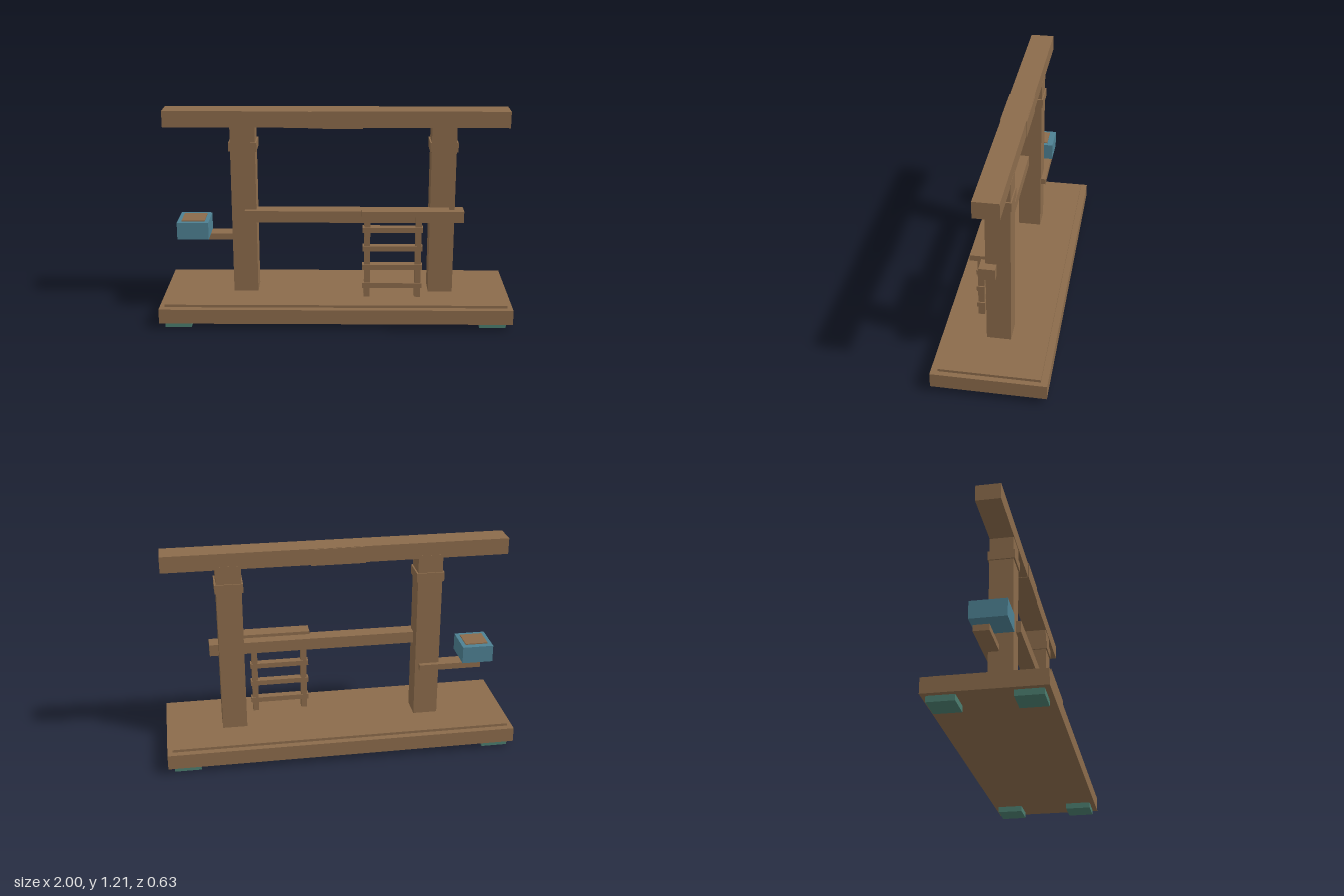
import * as THREE from 'three';

export function createModel() {
  const model = new THREE.Group();
  model.name = 'timberFrame';

  const material = (name, color) => {
    const m = new THREE.MeshStandardMaterial({ color });
    m.name = name;
    return m;
  };
  const wood = material('brown wood', 0x8b6b4b);
  const blue = material('blue paint', 0x4d8092);
  const green = material('green rubber', 0x4b7d6f);

  // Axis-aligned block given by its [min, max] range on each axis
  const block = (name, mat, [x0, x1], [y0, y1], [z0, z1], parent = model) => {
    const mesh = new THREE.Mesh(new THREE.BoxGeometry(x1 - x0, y1 - y0, z1 - z0), mat);
    mesh.position.set((x0 + x1) / 2, (y0 + y1) / 2, (z0 + z1) / 2);
    mesh.name = name;
    parent.add(mesh);
  };

  // Base slab with a raised deck and four feet
  block('base', wood, [-1, 1], [0.033, 0.118], [-0.313, 0.313]);
  block('deck', wood, [-0.97, 0.97], [0.11, 0.133], [-0.276, 0.276]);
  for (const x of [-0.895, 0.89])
    for (const z of [-0.216, 0.212])
      block('foot', green, [x - 0.075, x + 0.075], [0, 0.034], [z - 0.073, z + 0.073]);

  // Posts with collars
  for (const x of [-0.525, 0.605]) {
    block('post', wood, [x - 0.07, x + 0.07], [0.12, 1.13], [-0.07, 0.065]);
    block('collar', wood, [x - 0.079, x + 0.079], [0.975, 1.027], [-0.077, 0.073]);
  }

  // Top beam with a slightly proud sleeve at mid-span
  block('topBeam', wood, [-0.97, 0.97], [1.112, 1.205], [-0.069, 0.068]);
  block('beamSleeve', wood, [-0.155, 0.15], [1.108, 1.203], [-0.073, 0.073]);

  // Cross beam and the landing shelf in front of it
  block('crossBeam', wood, [-0.52, 0.727], [0.564, 0.632], [0.005, 0.093]);
  block('landing', wood, [0.145, 0.64], [0.617, 0.65], [0.07, 0.155]);

  // Ladder
  const ladder = new THREE.Group();
  ladder.name = 'ladder';
  model.add(ladder);
  for (const x of [0.177, 0.467])
    block('ladderRail', wood, [x - 0.017, x + 0.017], [0.12, 0.62], [0.111, 0.147], ladder);
  for (let i = 0; i < 4; i++) {
    const y = 0.204 + i * 0.112;
    block('ladderRung', wood, [0.15, 0.492], [y - 0.015, y + 0.015], [0.108, 0.153], ladder);
  }

  // Side arm carrying a box with an inset lid
  block('sideArm', wood, [-0.84, -0.477], [0.425, 0.461], [-0.097, -0.01]);
  block('sideBox', blue, [-0.91, -0.73], [0.46, 0.56], [-0.105, 0.095]);
  block('boxLid', wood, [-0.886, -0.754], [0.558, 0.566], [-0.069, 0.063]);

  return model;
}
